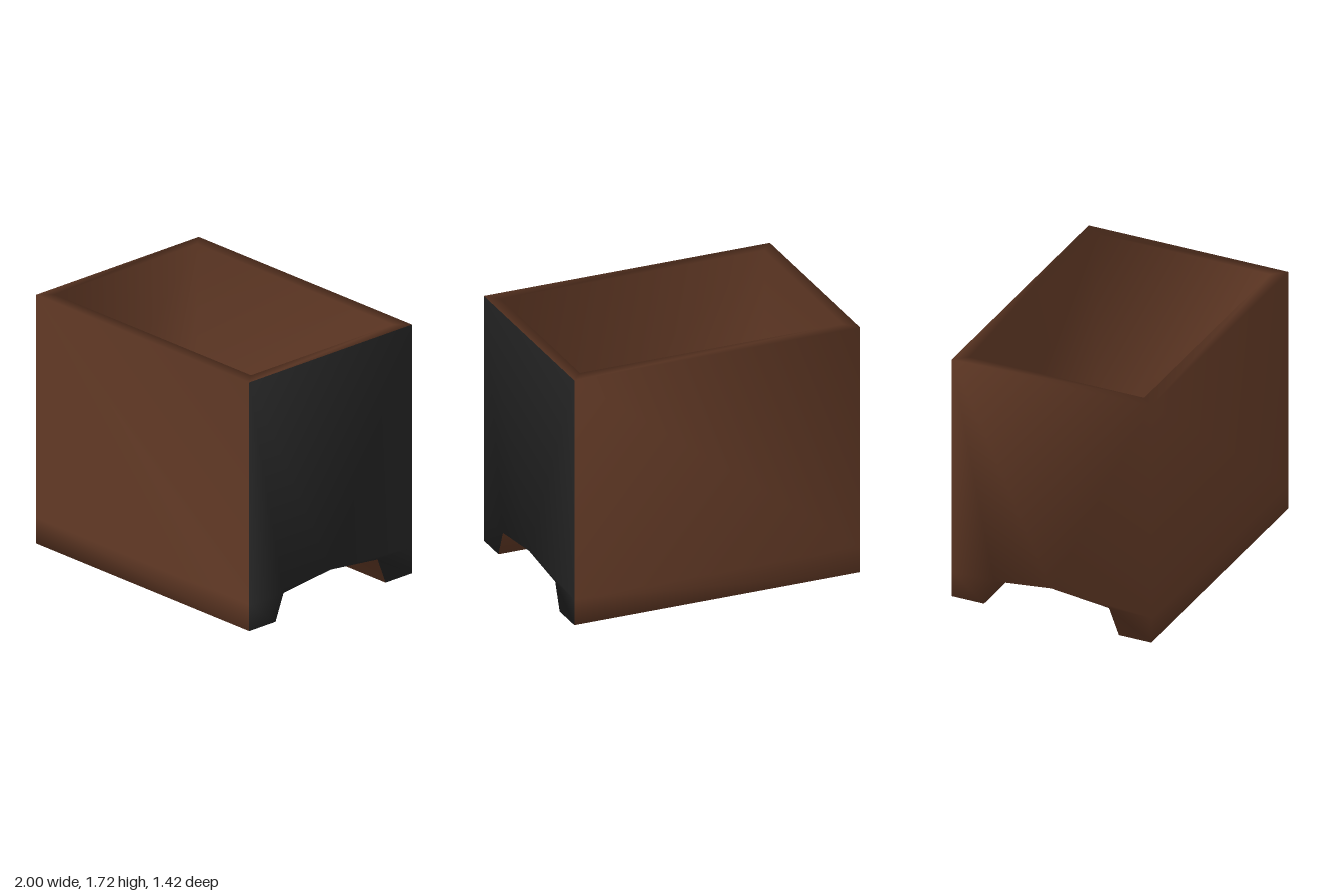
import * as THREE from 'three';
import { mergeVertices } from 'three/addons/utils/BufferGeometryUtils.js';

const TOP = 1.72, FLOOR = 0.3, HX = 1, HZ = 0.71, IX = 0.92, IZ = 0.62;

// Turns polygons (lists of [x, y, z] corners) into one softly shaded geometry,
// with one material group per list of faces.
function smoothGeometry(...faceLists) {
  const positions = [];
  const geometry = new THREE.BufferGeometry();
  faceLists.forEach((faces, material) => {
    const start = positions.length / 3;
    for (const f of faces) {
      for (let i = 1; i < f.length - 1; i++) positions.push(...f[0], ...f[i], ...f[i + 1]);
    }
    geometry.addGroup(start, positions.length / 3 - start, material);
  });
  geometry.setAttribute('position', new THREE.Float32BufferAttribute(positions, 3));
  const merged = mergeVertices(geometry);
  merged.computeVertexNormals();
  return merged;
}

export function createModel() {
  const group = new THREE.Group();
  group.name = 'openBin';
  const brown = new THREE.MeshStandardMaterial({ color: 0x633a26 });
  brown.name = 'brown';
  const black = new THREE.MeshStandardMaterial({ color: 0x262626 });
  black.name = 'charcoal';

  // End outline as [z, y], from the front top edge, under the arch, to the back top edge
  const half = [[HZ, TOP], [HZ, 0.18], [HZ, 0], [0.48, 0], [0.41, 0.18]];
  const mirrored = half.map(([z, y]) => [-z, y]).reverse();
  const outline = [...half, [0, 0.225], ...mirrored];
  const at = (x, i) => [x, outline[i][1], outline[i][0]];

  // Front, feet, arched tunnel and back
  const shell = [];
  for (let i = 0; i < outline.length - 1; i++) {
    shell.push([at(-HX, i), at(-HX, i + 1), at(HX, i + 1), at(HX, i)]);
  }

  // End panels: brown on the right, charcoal on the left
  const panel = [[0, 1, 4, 5], [1, 2, 3, 4], [0, 5, 10], [5, 6, 9, 10], [6, 7, 8, 9]];
  const darkEnd = panel.map((f) => f.map((i) => at(HX, i)));
  shell.push(...panel.map((f) => f.map((i) => at(-HX, i)).reverse()));

  // Rim and inner walls, stepping from ring to ring
  const ring = (x, y, z) => [[-x, y, -z], [-x, y, z], [x, y, z], [x, y, -z]];
  const rings = [ring(HX, TOP, HZ), ring(IX, TOP, IZ), ring(IX, FLOOR, IZ)];
  for (let r = 0; r < 2; r++) {
    for (let k = 0; k < 4; k++) {
      const n = (k + 1) % 4;
      shell.push([rings[r][k], rings[r][n], rings[r + 1][n], rings[r + 1][k]]);
    }
  }

  // Cavity floor in three strips
  const zs = [-IZ, -0.5, 0.5, IZ];
  for (let i = 0; i < 3; i++) {
    shell.push([[-IX, FLOOR, zs[i]], [-IX, FLOOR, zs[i + 1]], [IX, FLOOR, zs[i + 1]], [IX, FLOOR, zs[i]]]);
  }

  const body = new THREE.Mesh(smoothGeometry(shell, darkEnd), [brown, black]);
  body.name = 'binBody';
  group.add(body);
  return group;
}
